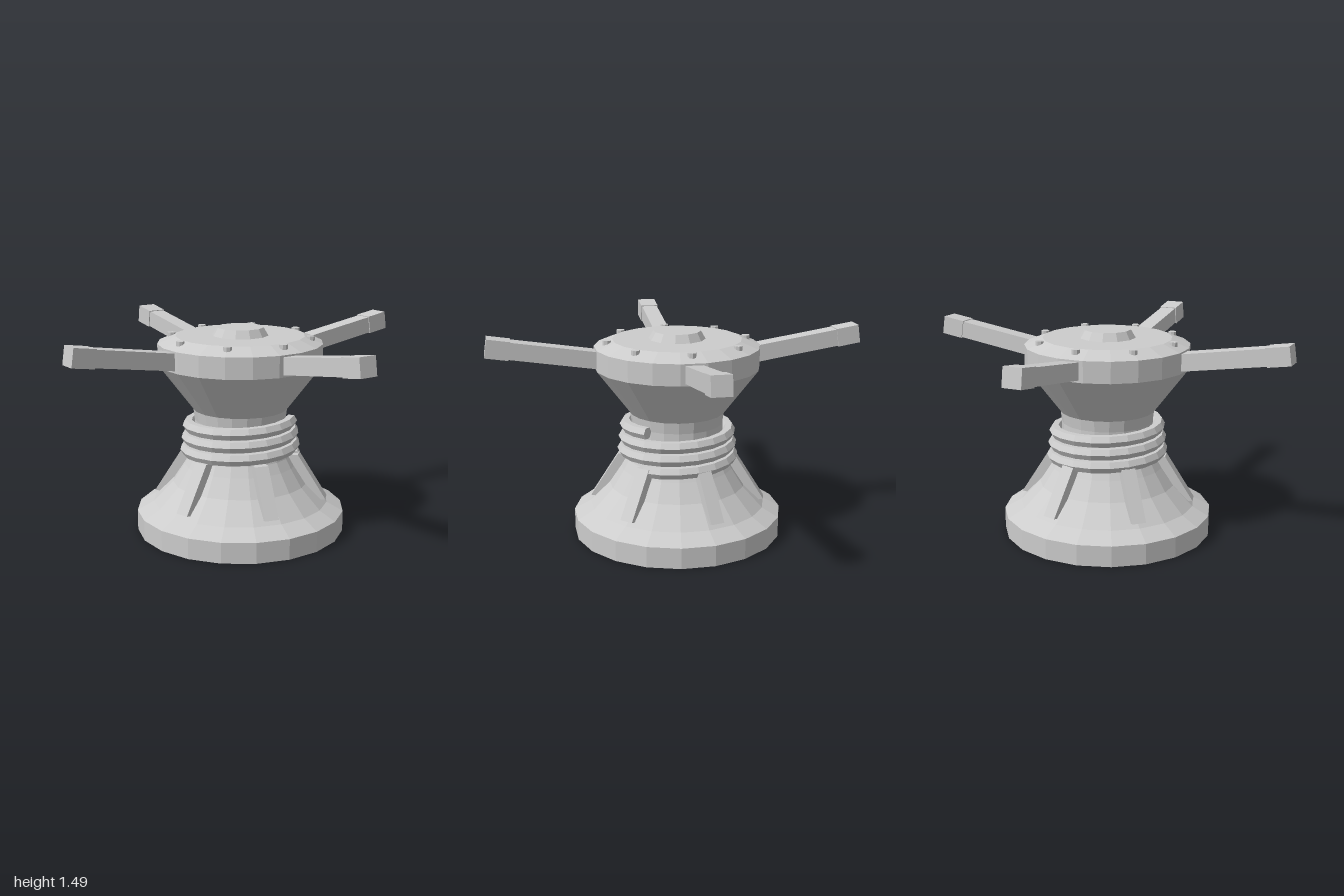
import * as THREE from 'three';

const SIDES = 20;

export function createModel() {
  const root = new THREE.Group();
  root.name = 'capstan';
  const grey = new THREE.MeshStandardMaterial({ color: 0xcccccc, flatShading: true });
  grey.name = 'plain grey';

  const add = (parent, name, geometry) => {
    const mesh = new THREE.Mesh(geometry, grey);
    mesh.name = name;
    parent.add(mesh);
    return mesh;
  };
  const lathe = (points, sides = SIDES) =>
    new THREE.LatheGeometry(points.map(([r, y]) => new THREE.Vector2(r, y)), sides);

  // Flared base, neck and drum head
  add(root, 'base', lathe([[0, 0], [0.76, 0], [0.76, 0.15], [0.64, 0.215], [0.495, 0.36],
    [0.41, 0.49], [0.37, 0.56], [0.335, 0.66], [0.33, 0.82], [0.34, 0.9]]));
  add(root, 'drumHead', lathe([[0, 0.9], [0.34, 0.9], [0.59, 1.23], [0.59, 1.38],
    [0.46, 1.43], [0, 1.43]]));
  add(root, 'topCap', lathe([[0.205, 1.425], [0.168, 1.487], [0, 1.487]], 12));

  // Rope: three-turn coil, slightly wider towards the bottom
  const turns = 3, steps = turns * SIDES, ropeRadius = 0.045;
  const coilRadius = (t) => 0.37 + 0.03 * t;
  const coilHeight = (t) => 0.82 - 0.27 * t;
  const rope = new THREE.TorusGeometry(1, ropeRadius, 6, steps, turns * Math.PI * 2);
  rope.rotateX(Math.PI / 2);
  const p = rope.attributes.position;
  for (let i = 0; i < p.count; i++) {
    const t = (i % (steps + 1)) / steps;
    const r = Math.hypot(p.getX(i), p.getZ(i));
    const k = (r - 1 + coilRadius(t)) / r;
    p.setXYZ(i, p.getX(i) * k, p.getY(i) + coilHeight(t), p.getZ(i) * k);
  }
  rope.computeVertexNormals();
  add(root, 'rope', rope);
  for (const t of [0, 1]) {
    const end = add(root, 'ropeEnd', new THREE.CircleGeometry(ropeRadius, 6));
    end.position.set(coilRadius(t), coilHeight(t), 0);
    end.rotation.y = t === 0 ? Math.PI : 0;
  }

  // Six ribs leaning on the flared base
  const ribShape = new THREE.Shape([[0.34, 0.575], [0.43, 0.575], [0.635, 0.25], [0.58, 0.24], [0.4, 0.42]]
    .map(([x, y]) => new THREE.Vector2(x, y)));
  const ribGeometry = new THREE.ExtrudeGeometry(ribShape, { depth: 0.1, bevelEnabled: false });
  ribGeometry.translate(0, 0, -0.05);
  for (let i = 0; i < 6; i++) {
    add(root, 'rib', ribGeometry).rotation.y = (i * Math.PI) / 3;
  }

  // Eight bolts around the sloped rim
  const boltGeometry = new THREE.CylinderGeometry(0.03, 0.03, 0.05, 8);
  for (let i = 0; i < 8; i++) {
    const a = (i * Math.PI) / 4;
    add(root, 'bolt', boltGeometry).position.set(0.5 * Math.cos(a), 1.41, 0.5 * Math.sin(a));
  }

  // Four raised push bars with thicker ends
  const barGeometry = new THREE.BoxGeometry(0.78, 0.12, 0.12).translate(0.35, 0, 0);
  const gripGeometry = new THREE.BoxGeometry(0.165, 0.131, 0.134).translate(0.764, 0, 0);
  for (let i = 0; i < 4; i++) {
    const arm = new THREE.Group();
    arm.name = 'arm';
    arm.rotation.y = Math.PI / 4 + (i * Math.PI) / 2;
    const tilt = new THREE.Group();
    tilt.name = 'pushBar';
    tilt.position.set(0.5, 1.294, 0);
    tilt.rotation.z = 0.153;
    add(tilt, 'bar', barGeometry);
    add(tilt, 'grip', gripGeometry);
    arm.add(tilt);
    root.add(arm);
  }
  return root;
}
